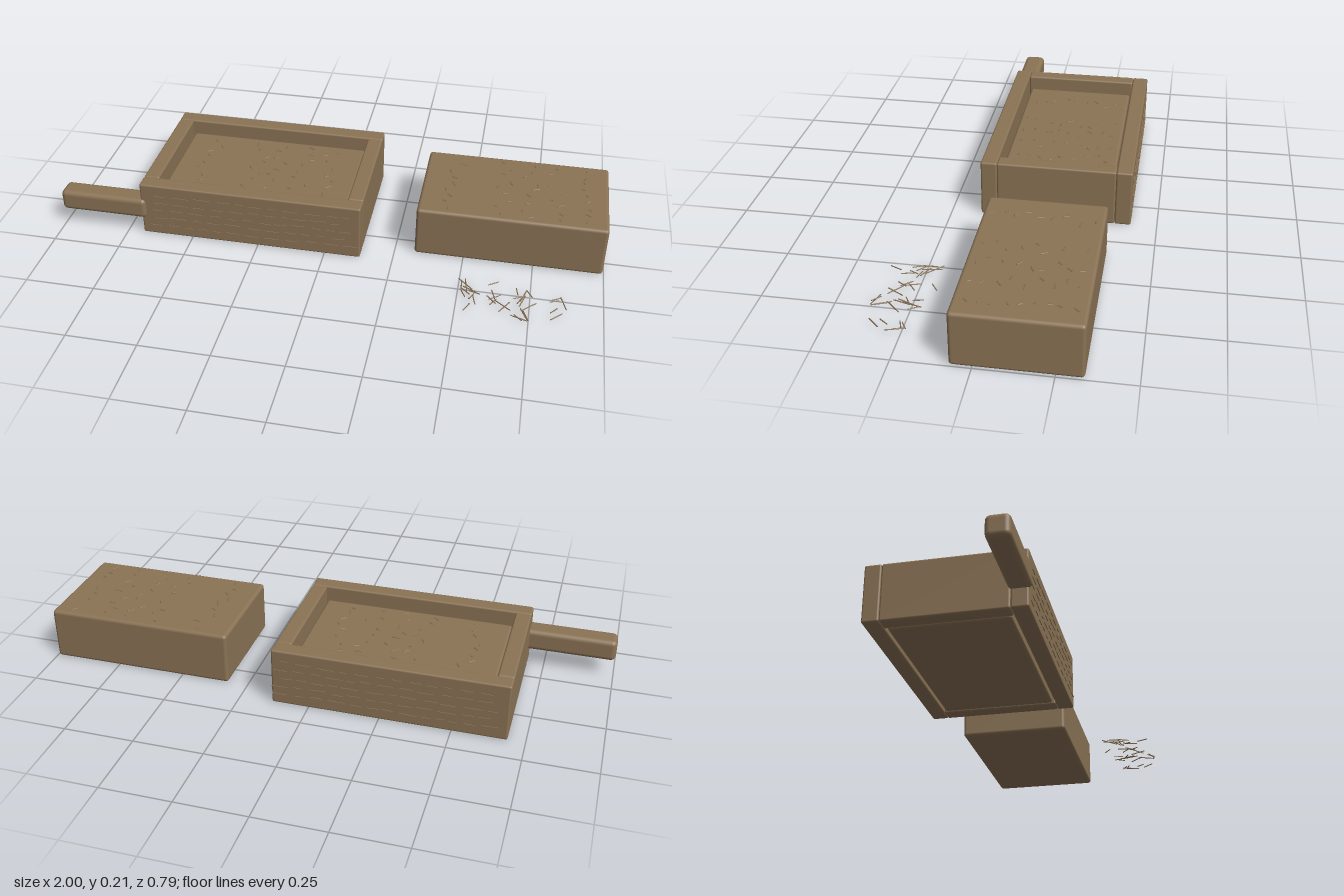
import * as THREE from 'three';
import { RoundedBoxGeometry } from 'three/addons/geometries/RoundedBoxGeometry.js';

const brown = new THREE.MeshStandardMaterial({ color: 0x8b7355 });
brown.name = 'earth brown';

// Small seeded generator for scattered details
function seeded(seed) {
  return () => {
    seed = (seed * 16807) % 2147483647;
    return seed / 2147483647;
  };
}

// Rounded box given by its limits on each axis
function block(name, [x0, x1], [y0, y1], [z0, z1], radius) {
  const geometry = new RoundedBoxGeometry(x1 - x0, y1 - y0, z1 - z0, 3, radius);
  const mesh = new THREE.Mesh(geometry, brown);
  mesh.position.set((x0 + x1) / 2, (y0 + y1) / 2, (z0 + z1) / 2);
  mesh.name = name;
  return mesh;
}

// Short chopped stems pressed into the top of a brick
function flecks(x0, top, seed) {
  const random = seeded(seed);
  const group = new THREE.Group();
  group.name = 'strawFlecks';
  for (const column of [0.11, 0.30, 0.39, 0.49, 0.58]) {
    for (let row = 0; row < 9; row++) {
      const length = 0.012 + random() * 0.016;
      const stem = new THREE.Mesh(new THREE.CylinderGeometry(0.003, 0.003, length, 5), brown);
      stem.name = 'fleck';
      stem.position.set(x0 + column + (random() - 0.5) * 0.06, top, -0.31 + row * 0.042 + random() * 0.02);
      stem.rotation.set(Math.PI / 2, 0, random() * Math.PI);
      group.add(stem);
    }
  }
  return group;
}

// Rows of broken grain lines along the outer face of a long rail
function grain(z, seed) {
  const random = seeded(seed);
  const group = new THREE.Group();
  group.name = 'woodGrain';
  for (const y of [0.042, 0.074, 0.106, 0.138, 0.170]) {
    let x = -0.66 + random() * 0.03;
    while (x < 0.08) {
      const length = 0.025 + random() * 0.04;
      const dash = new THREE.Mesh(new THREE.BoxGeometry(length, 0.005, 0.004), brown);
      dash.name = 'grainLine';
      dash.position.set(x + length / 2, y + (random() - 0.5) * 0.008, z);
      dash.rotation.z = (random() - 0.5) * 0.08;
      group.add(dash);
      x += length + 0.012 + random() * 0.018;
    }
  }
  return group;
}

export function createModel() {
  const model = new THREE.Group();
  model.name = 'brickMould';

  // Open wooden frame
  const height = [0.003, 0.214];
  const frame = new THREE.Group();
  frame.name = 'frame';
  frame.add(
    block('frontRail', [-0.69, 0.132], height, [0.082, 0.141], 0.007),
    block('backRail', [-0.69, 0.132], height, [-0.406, -0.347], 0.007),
    block('rightEnd', [-0.69, -0.633], height, [-0.347, 0.082], 0.007),
    block('leftEnd', [0.075, 0.132], height, [-0.347, 0.082], 0.007),
    grain(0.1415, 11),
    grain(-0.4065, 29)
  );
  model.add(frame);

  // Handle lapped onto the front corner
  model.add(block('handle', [-1, -0.67], [0.07, 0.15], [0.072, 0.152], 0.018));

  // Brick still in the mould and finished brick beside it
  model.add(block('mouldedBrick', [-0.626, 0.068], [0.003, 0.165], [-0.338, 0.072], 0.01));
  model.add(flecks(-0.626, 0.165, 41));
  model.add(block('finishedBrick', [0.322, 0.996], [0.003, 0.194], [-0.338, 0.072], 0.012));
  model.add(flecks(0.322, 0.194, 73));

  // Loose straw in small heaps on the ground
  const straw = new THREE.Group();
  straw.name = 'looseStraw';
  const random = seeded(97);
  const heaps = [[0.535, 0.29, 10], [0.64, 0.25, 7], [0.72, 0.30, 11], [0.85, 0.28, 6]];
  for (const [x, z, count] of heaps) {
    for (let i = 0; i < count; i++) {
      const stem = new THREE.Mesh(new THREE.CylinderGeometry(0.002, 0.002, 0.035 + random() * 0.04, 5), brown);
      stem.name = 'straw';
      stem.position.set(x + (random() - 0.5) * 0.06, 0.008 + random() * 0.006, z + (random() - 0.5) * 0.16);
      stem.rotation.set(Math.PI / 2, 0, (random() - 0.5) * 2.6);
      straw.add(stem);
    }
  }
  model.add(straw);
  return model;
}
